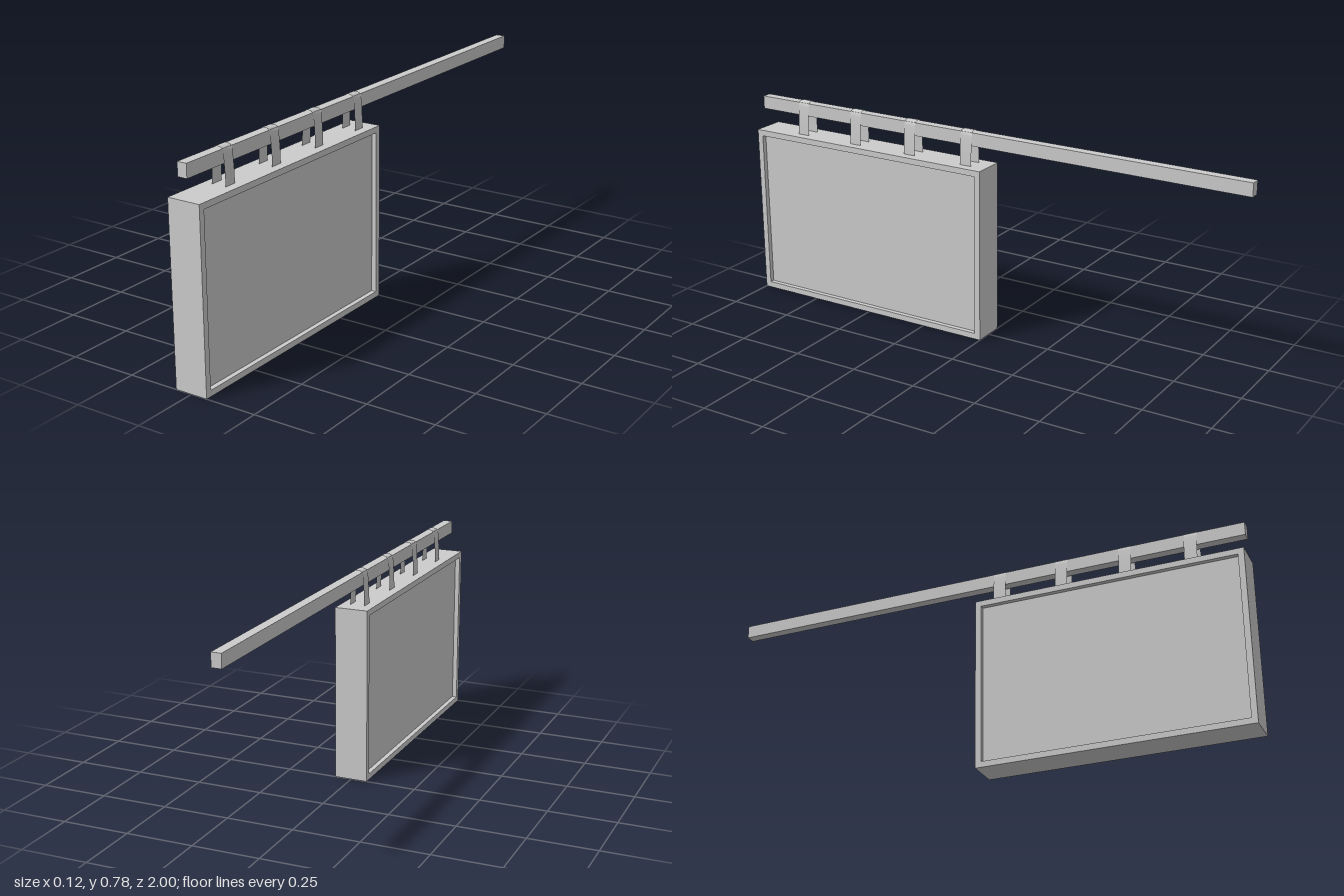
import * as THREE from 'three';

const grey = new THREE.MeshStandardMaterial({ color: 0xcccccc });
const greyThin = new THREE.MeshStandardMaterial({ color: 0xcccccc, side: THREE.DoubleSide });

const BOARD = { height: 0.65, length: 1, depth: 0.124, rim: 0.022, recess: 0.018 };

function addBox(group, name, size, position) {
  const mesh = new THREE.Mesh(new THREE.BoxGeometry(...size), grey);
  mesh.name = name;
  mesh.position.set(...position);
  group.add(mesh);
}

// Rectangular outline, corner to corner
function rectangle(PathType, a0, b0, a1, b1) {
  const path = new PathType();
  path.moveTo(a0, b0).lineTo(a1, b0).lineTo(a1, b1).lineTo(a0, b1).closePath();
  return path;
}

// Frame ring, extruded across x
function frameGeometry() {
  const { height, length, depth, rim } = BOARD;
  const shape = rectangle(THREE.Shape, 0, 0, length, height);
  shape.holes.push(rectangle(THREE.Path, rim, rim, length - rim, height - rim));
  const geometry = new THREE.ExtrudeGeometry(shape, { depth, bevelEnabled: false });
  return geometry.translate(0, 0, -depth / 2).rotateY(-Math.PI / 2);
}

// Thin strip bent over the bar, its legs flaring down to the board
function strapGeometry(width) {
  const half = [
    [0.027, 0.65], [0.026, 0.69], [0.0235, 0.73], [0.0215, 0.758], [0.019, 0.771], [0.012, 0.777],
  ];
  const profile = [
    ...half.map(([x, y]) => [-x, y]), [0, 0.779], ...[...half].reverse(),
  ];
  const geometry = new THREE.PlaneGeometry(1, width, profile.length - 1, 1);
  const p = geometry.attributes.position;
  for (let i = 0; i < p.count; i++) {
    const [x, y] = profile[i % profile.length];
    p.setXYZ(i, x, y, -p.getY(i));
  }
  geometry.computeVertexNormals();
  return geometry;
}

export function createModel() {
  const model = new THREE.Group();
  model.name = 'hangingSign';

  // Sign board with a recessed panel on each side
  const board = new THREE.Group();
  board.name = 'signBoard';
  const frame = new THREE.Mesh(frameGeometry(), grey);
  frame.name = 'boardFrame';
  board.add(frame);
  const { height, length, depth, rim, recess } = BOARD;
  addBox(board, 'recessedPanel',
    [depth - 2 * recess, height - 2 * rim, length - 2 * rim],
    [0, height / 2, length / 2]);
  model.add(board);

  // Long bar the board hangs from
  addBox(model, 'supportBar', [0.036, 0.049, 2], [0, 0.748, 0]);

  // Four straps looped over the bar
  const strap = strapGeometry(0.047);
  for (let i = 0; i < 4; i++) {
    const mesh = new THREE.Mesh(strap, greyThin);
    mesh.name = `strap${i + 1}`;
    mesh.position.z = 0.08 + i * 0.2415;
    model.add(mesh);
  }

  return model;
}
